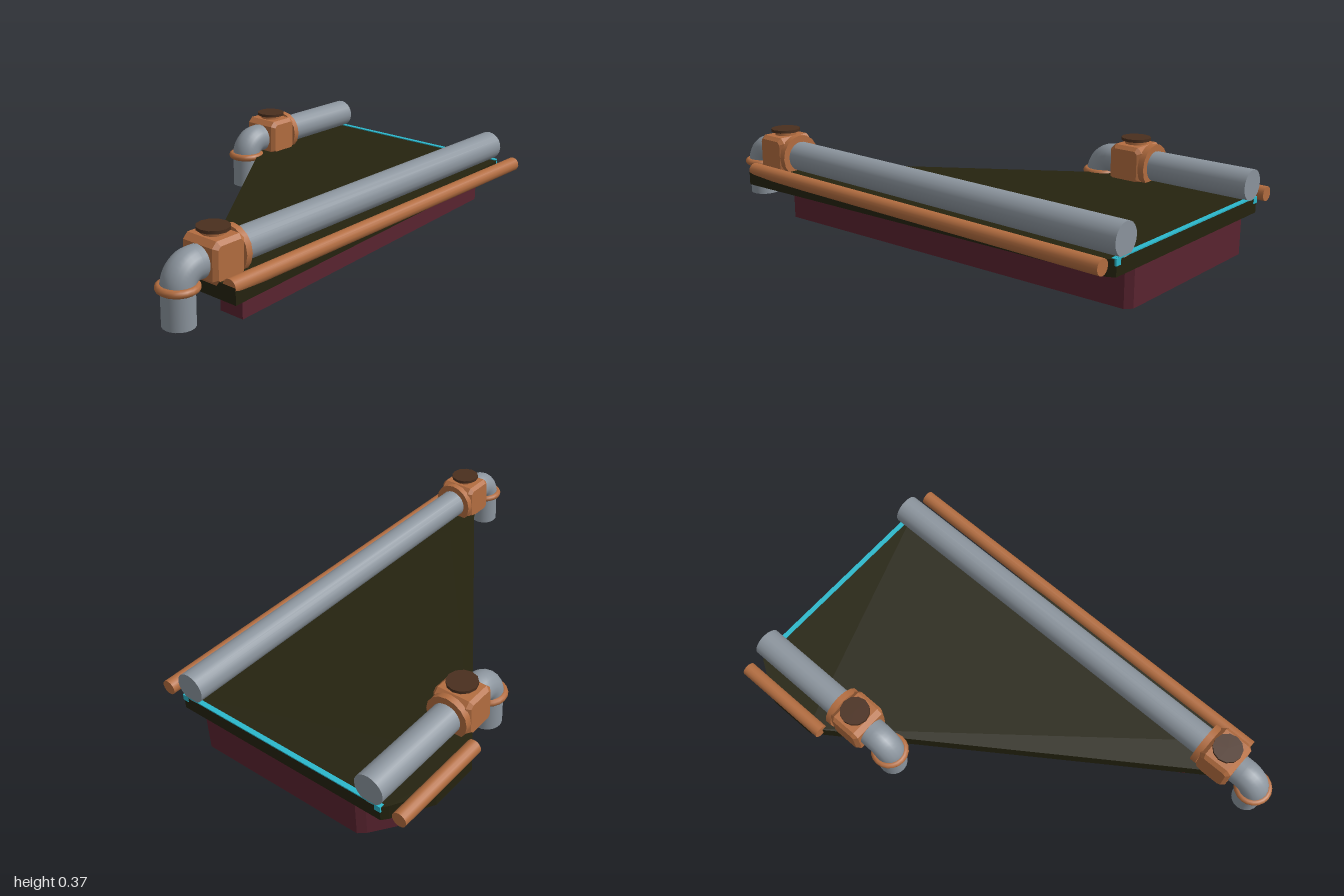
import * as THREE from 'three';

const mat = (name, color) => {
  const m = new THREE.MeshStandardMaterial({ color });
  m.name = name;
  return m;
};

export function createModel() {
  const root = new THREE.Group();
  root.name = 'pipedPlatform';
  const olive = mat('dark olive', 0x25230f);
  const maroon = mat('maroon', 0x5a2430);
  const steel = mat('steel grey', 0x8c959e);
  const copper = mat('copper', 0xb36d40);
  const bronze = mat('dark bronze', 0x4a2f1e);
  const cyan = mat('cyan', 0x2bb8cc);

  const add = (parent, name, geometry, material, x = 0, y = 0, z = 0) => {
    const m = new THREE.Mesh(geometry, material);
    m.name = name;
    m.position.set(x, y, z);
    parent.add(m);
    return m;
  };

  // Slab from an (x, z) outline between two heights
  const slab = (name, outline, bottom, top, material) => {
    const shape = new THREE.Shape(outline.map(([x, z]) => new THREE.Vector2(x, z)));
    const g = new THREE.ExtrudeGeometry(shape, { depth: top - bottom, bevelEnabled: false });
    g.rotateX(Math.PI / 2);
    return add(root, name, g, material, 0, top, 0);
  };

  // Rod along x
  const rod = (parent, name, r, x0, x1, y, z, material, sides = 20) => {
    const g = new THREE.CylinderGeometry(r, r, x1 - x0, sides).rotateZ(Math.PI / 2);
    return add(parent, name, g, material, (x0 + x1) / 2, y, z);
  };

  // Deck plate and the smaller hull below it
  slab('deckPlate', [
    [-0.81, 0.585], [-0.81, 0.41], [0.62, -0.585], [0.83, -0.585],
    [0.975, -0.495], [0.998, -0.475], [0.998, 0.475], [0.97, 0.49],
  ], 0.142, 0.204, olive);
  slab('hull', [
    [-0.66, 0.47], [-0.66, 0.36], [0.66, -0.47], [0.87, -0.47],
    [0.975, -0.39], [0.998, -0.362], [0.998, 0.365], [0.975, 0.39],
  ], 0, 0.142, maroon);

  // Light strip along the right edge with its end lamps
  add(root, 'lightStrip', new THREE.BoxGeometry(0.02, 0.005, 0.93), cyan, 0.99, 0.2055, 0);
  for (const s of [1, -1]) {
    add(root, 'endLamp', new THREE.BoxGeometry(0.02, 0.026, 0.026), cyan, 0.99, 0.194, s * 0.465);
  }

  // Side rails
  rod(root, 'frontRail', 0.03, -0.81, 1, 0.2, 0.556, copper, 16);
  rod(root, 'backRail', 0.03, 0.57, 1, 0.2, -0.558, copper, 16);

  // Chamfered valve block, centred on its origin
  const blockGeometry = () => {
    const b = 0.015, w = 0.15 / 2 - b, h = 0.16 / 2 - b, d = 0.168 - 2 * b, c = 0.012;
    const shape = new THREE.Shape([
      [-w + c, -h], [w - c, -h], [w, -h + c], [w, h - c],
      [w - c, h], [-w + c, h], [-w, h - c], [-w, -h + c],
    ].map(([x, y]) => new THREE.Vector2(x, y)));
    return new THREE.ExtrudeGeometry(shape, {
      depth: d, bevelEnabled: true, bevelSize: b, bevelThickness: b, bevelSegments: 1,
    }).translate(0, 0, -d / 2);
  };

  // Pipe run: drop pipe, elbow, valve and straight pipe to the right edge
  const pipeRun = (name, dropX, z) => {
    const g = new THREE.Group();
    g.name = name;
    g.position.z = z;
    root.add(g);
    const bend = 0.064, r = 0.062, y = 0.262, elbowY = y - bend;
    const valveX = dropX + 0.167;

    rod(g, 'mainPipe', r, dropX + bend, 1, y, 0, steel);
    const elbow = new THREE.TorusGeometry(bend, r, 20, 10, Math.PI / 2).rotateZ(Math.PI / 2);
    add(g, 'elbow', elbow, steel, dropX + bend, elbowY, 0);
    add(g, 'dropPipe', new THREE.CylinderGeometry(0.06, 0.06, elbowY - 0.06, 20), steel,
      dropX, (elbowY + 0.06) / 2, 0);
    add(g, 'elbowCollar', new THREE.TorusGeometry(0.064, 0.015, 10, 20).rotateX(Math.PI / 2),
      copper, dropX, 0.2, 0);

    add(g, 'valveBlock', blockGeometry(), copper, valveX, 0.264, 0);
    rod(g, 'valveFlange', 0.09, valveX + 0.07, valveX + 0.097, y, 0, copper, 16);
    add(g, 'valveNeck', new THREE.CylinderGeometry(0.045, 0.045, 0.025, 12), copper,
      valveX, 0.348, 0);
    add(g, 'valveCap', new THREE.CylinderGeometry(0.061, 0.061, 0.012, 12), bronze,
      valveX, 0.364, 0);
  };
  pipeRun('frontPipeRun', -0.92, 0.427);
  pipeRun('backPipeRun', 0.3, -0.43);

  return root;
}
